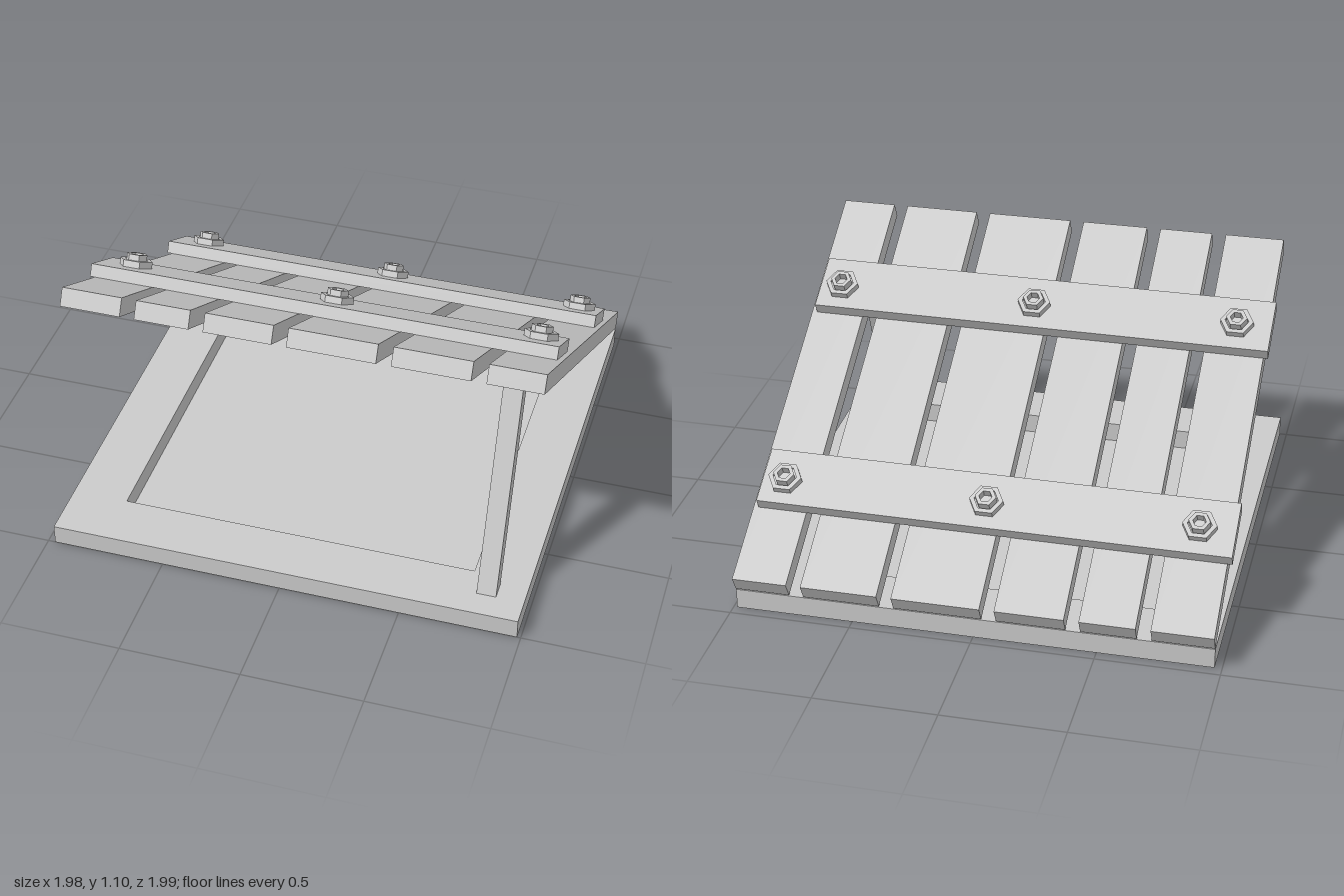
import * as THREE from 'three';

const material = new THREE.MeshStandardMaterial({ color: 0xcccccc, flatShading: true });
const sheetMaterial = new THREE.MeshStandardMaterial({ color: 0xcccccc, flatShading: true, side: THREE.DoubleSide });

function addMesh(parent, name, geometry, x = 0, y = 0, z = 0, mat = material) {
  const mesh = new THREE.Mesh(geometry, mat);
  mesh.name = name;
  mesh.position.set(x, y, z);
  parent.add(mesh);
  return mesh;
}

// Hexagonal sleeve standing on y = 0, with corners on the x axis
function hexRing(outer, inner, height) {
  const corners = (r) => Array.from({ length: 6 }, (_, i) =>
    new THREE.Vector2(r * Math.cos(i * Math.PI / 3), r * Math.sin(i * Math.PI / 3)));
  const shape = new THREE.Shape(corners(outer));
  shape.holes.push(new THREE.Path(corners(inner).reverse()));
  return new THREE.ExtrudeGeometry(shape, { depth: height, bevelEnabled: false }).rotateX(-Math.PI / 2);
}

function createBolt() {
  const bolt = new THREE.Group();
  bolt.name = 'bolt';
  addMesh(bolt, 'nut', hexRing(0.07, 0.05, 0.028));
  addMesh(bolt, 'boltHead', hexRing(0.044, 0.027, 0.052));
  addMesh(bolt, 'boltCore', new THREE.CylinderGeometry(0.052, 0.052, 0.018, 6).rotateY(Math.PI / 6), 0, 0.009, 0);
  return bolt;
}

export function createModel() {
  const model = new THREE.Group();
  model.name = 'proppedHatch';

  // Base: square sheet frame, open underneath, with a sunken tray
  const k = Math.SQRT2, outer = 0.9775 * k, inner = 0.745 * k, h = 0.085;
  const profile = [[outer, 0], [outer, h], [inner, h], [inner, 0], [0, 0]]
    .map(([r, y]) => new THREE.Vector2(r, y));
  const frame = new THREE.LatheGeometry(profile, 4, Math.PI / 4).toNonIndexed();
  frame.computeVertexNormals();
  addMesh(model, 'baseFrame', frame, 0.0075, 0, 0.0225, sheetMaterial);

  // Lid: local z runs up the slope, local y is the lid's outward normal
  const lid = new THREE.Group();
  lid.name = 'lid';
  lid.position.set(0, 0.09, -0.957);
  lid.rotation.x = -0.507;
  model.add(lid);

  // Planks
  const length = 1.945, thick = 0.077;
  const planks = [[-0.97, -0.72], [-0.66, -0.435], [-0.375, -0.095], [-0.035, 0.325], [0.385, 0.7], [0.76, 0.985]];
  for (const [x0, x1] of planks) {
    addMesh(lid, 'plank', new THREE.BoxGeometry(x1 - x0, thick, length), (x0 + x1) / 2, thick / 2, length / 2);
  }

  // Cross battens, very slightly skewed, each with three bolts
  const battenThick = 0.053;
  for (const z of [0.465, 1.454]) {
    const batten = addMesh(lid, 'batten', new THREE.BoxGeometry(1.953, battenThick, 0.252),
      -0.014, thick + battenThick / 2, z);
    batten.rotation.y = -0.004;
    for (const x of [-0.845, 0.02, 0.865]) {
      const bolt = createBolt();
      bolt.position.set(x, thick + battenThick, z - 0.01);
      lid.add(bolt);
    }
  }

  // Prop leaning from the base's front corner to the lid
  const prop = addMesh(model, 'prop', new THREE.BoxGeometry(0.08, 0.93, 0.07), 0.83, 0.4925, 0.6915);
  prop.rotation.x = -0.376;

  return model;
}
